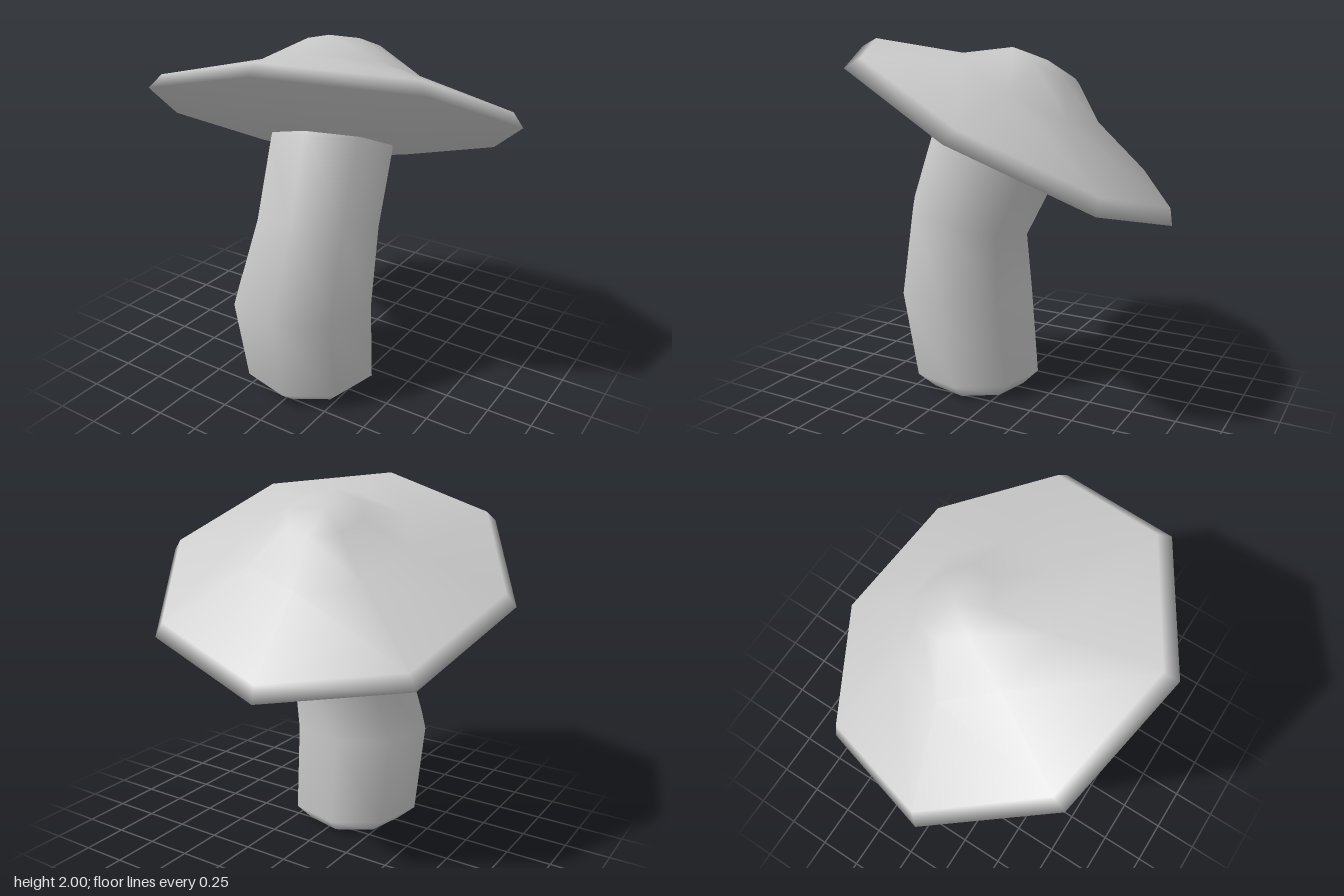
import * as THREE from 'three';
import { mergeVertices } from 'three/addons/utils/BufferGeometryUtils.js';

const SIDES = 8;
const PHASE = 1.73; // turn of the octagon around the axis
const SLOPE = { x: 0.169, z: 0.484 }; // how the cap plane rises

// Octagonal lathe from [radius, height] pairs, listed bottom to top
function octagonLathe(profile) {
  const points = profile.map(([r, y]) => new THREE.Vector2(r, y));
  return new THREE.LatheGeometry(points, SIDES, PHASE);
}

// Weld the seam and give smooth normals
function smooth(geometry) {
  geometry.deleteAttribute('uv');
  geometry.deleteAttribute('normal');
  const welded = mergeVertices(geometry, 1e-4);
  welded.computeVertexNormals();
  return welded;
}

export function createModel() {
  const group = new THREE.Group();
  const material = new THREE.MeshStandardMaterial({ color: 0xcccccc });

  // Stem: rings of [radius, centre x, y, z, share of the cap's tilt]
  const rings = [
    [0, -0.01, 0, 0.225, 0],
    [0.28, -0.01, 0, 0.225, 0],
    [0.378, -0.015, 0.09, 0.235, 0],
    [0.4, -0.015, 0.58, 0.3, 0],
    [0.342, 0.05, 1.02, 0.24, 0.5],
    [0.34, 0.04, 1.39, 0.09, 0.95],
    [0.32, 0.02, 1.52, 0.03, 1],
  ];
  const stemGeometry = octagonLathe(rings.map(([r, , y]) => [r, y]));
  const pos = stemGeometry.attributes.position;
  for (let i = 0; i < pos.count; i++) {
    const [, cx, cy, cz, tilt] = rings[i % rings.length];
    const x = pos.getX(i), z = pos.getZ(i);
    pos.setXYZ(i, cx + x, cy + tilt * (SLOPE.x * x + SLOPE.z * z), cz + z);
  }
  const stem = new THREE.Mesh(smooth(stemGeometry), material);
  stem.name = 'stem';
  group.add(stem);

  // Cap: shallow underside, thin rim, flared top with a rounded crown
  const capGeometry = octagonLathe([
    [0, -0.1], [0.42, -0.13], [1.01, 0], [0.955, 0.078],
    [0.45, 0.25], [0.21, 0.41], [0, 0.44],
  ]);
  const cap = new THREE.Mesh(smooth(capGeometry), material);
  cap.name = 'cap';
  cap.position.y = 1.5;
  const up = new THREE.Vector3(-SLOPE.x, 1, -SLOPE.z).normalize();
  cap.quaternion.setFromUnitVectors(new THREE.Vector3(0, 1, 0), up);
  group.add(cap);

  return group;
}
